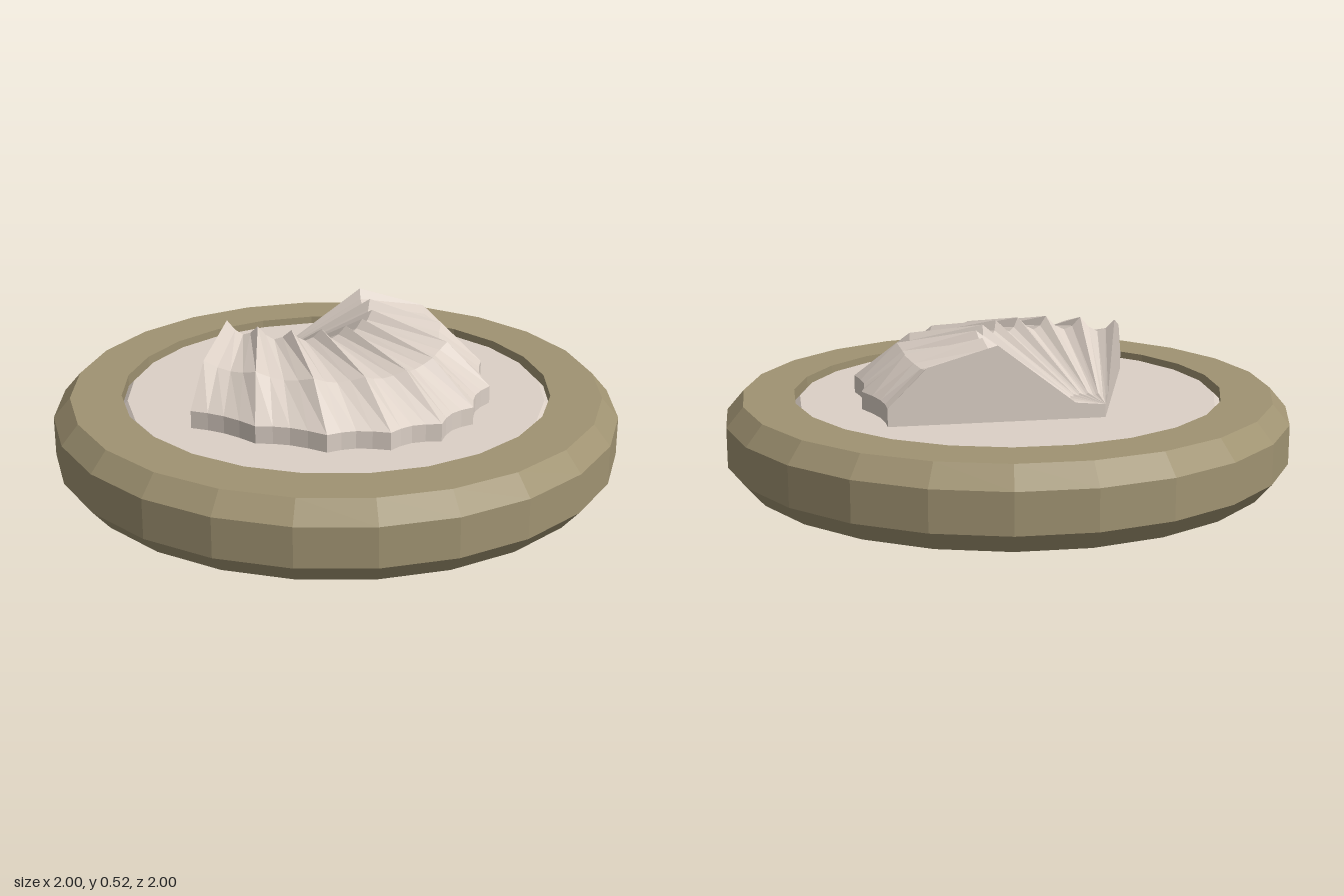
import * as THREE from 'three';

const ringMat = new THREE.MeshStandardMaterial({ color: 0xa09372, flatShading: true });
ringMat.name = 'olive frame';
const shellMat = new THREE.MeshStandardMaterial({ color: 0xdcd0c6, flatShading: true });
shellMat.name = 'pale shell';

const SIDES = 24;

function lathe(name, profile, material) {
  const points = profile.map(([r, y]) => new THREE.Vector2(r, y));
  const mesh = new THREE.Mesh(new THREE.LatheGeometry(points, SIDES), material);
  mesh.name = name;
  return mesh;
}

// Fan of ribs spreading from a hinge point, closed by two straight side walls
function scallopGeometry() {
  const hingeZ = -0.46, floor = 0.26, steps = 4;
  const half = [[0, 1.035], [0.18, 0.99], [0.357, 0.878], [0.5, 0.675], [0.597, 0.435]]; // ridge tips from the hinge
  const tips = [...half.slice(1).reverse().map(([x, z]) => [-x, z]), ...half];
  // [distance along the rib, ridge height, groove depth]
  const rows = [[0, 0.305, 0], [0.14, 0.315, 0.008], [0.5, 0.522, 0.045],
    [0.82, 0.455, 0.025], [1, 0.322, 0], [1, floor, 0]];
  const columns = (tips.length - 1) * steps;

  const point = (i, k) => {
    const rib = Math.min(Math.floor(i / steps), tips.length - 2);
    const u = i / steps - rib;
    const groove = Math.sin(Math.PI * u);
    const [t, y, depth] = rows[k];
    const s = t * (1 - 0.026 * groove);
    const x = THREE.MathUtils.lerp(tips[rib][0], tips[rib + 1][0], u);
    const z = THREE.MathUtils.lerp(tips[rib][1], tips[rib + 1][1], u);
    return [x * s, y - depth * groove, hingeZ + z * s];
  };
  const drop = ([x, , z]) => [x, floor, z];

  const pos = [];
  const quad = (a, b, c, d) => pos.push(...a, ...b, ...c, ...a, ...c, ...d);

  // Ribbed top and scalloped rim
  for (let i = 0; i < columns; i++) {
    for (let k = 0; k < rows.length - 1; k++) {
      const a = point(i, k), b = point(i, k + 1), c = point(i + 1, k + 1), d = point(i + 1, k);
      if (k === 0) pos.push(...a, ...b, ...c);
      else quad(a, b, c, d);
    }
  }
  // Straight walls along both outer ribs
  for (let k = 0; k < rows.length - 2; k++) {
    const r0 = point(columns, k), r1 = point(columns, k + 1);
    quad(drop(r0), r0, r1, drop(r1));
    const l0 = point(0, k), l1 = point(0, k + 1);
    quad(l0, drop(l0), drop(l1), l1);
  }
  const geometry = new THREE.BufferGeometry();
  geometry.setAttribute('position', new THREE.Float32BufferAttribute(pos, 3));
  geometry.computeVertexNormals();
  return geometry;
}

export function createModel() {
  const model = new THREE.Group();
  model.name = 'shellMedallion';

  // Chamfered outer frame
  model.add(lathe('frameRing', [
    [0.76, 0], [0.94, 0], [1, 0.07], [1, 0.21], [0.94, 0.28], [0.76, 0.28], [0.76, 0],
  ], ringMat));

  // Recessed backing plate
  model.add(lathe('backingDisc', [
    [0, 0.045], [0.74, 0.045], [0.76, 0.065], [0.76, 0.24], [0.74, 0.26], [0, 0.26],
  ], shellMat));

  const shell = new THREE.Mesh(scallopGeometry(), shellMat);
  shell.name = 'scallopShell';
  model.add(shell);
  return model;
}
